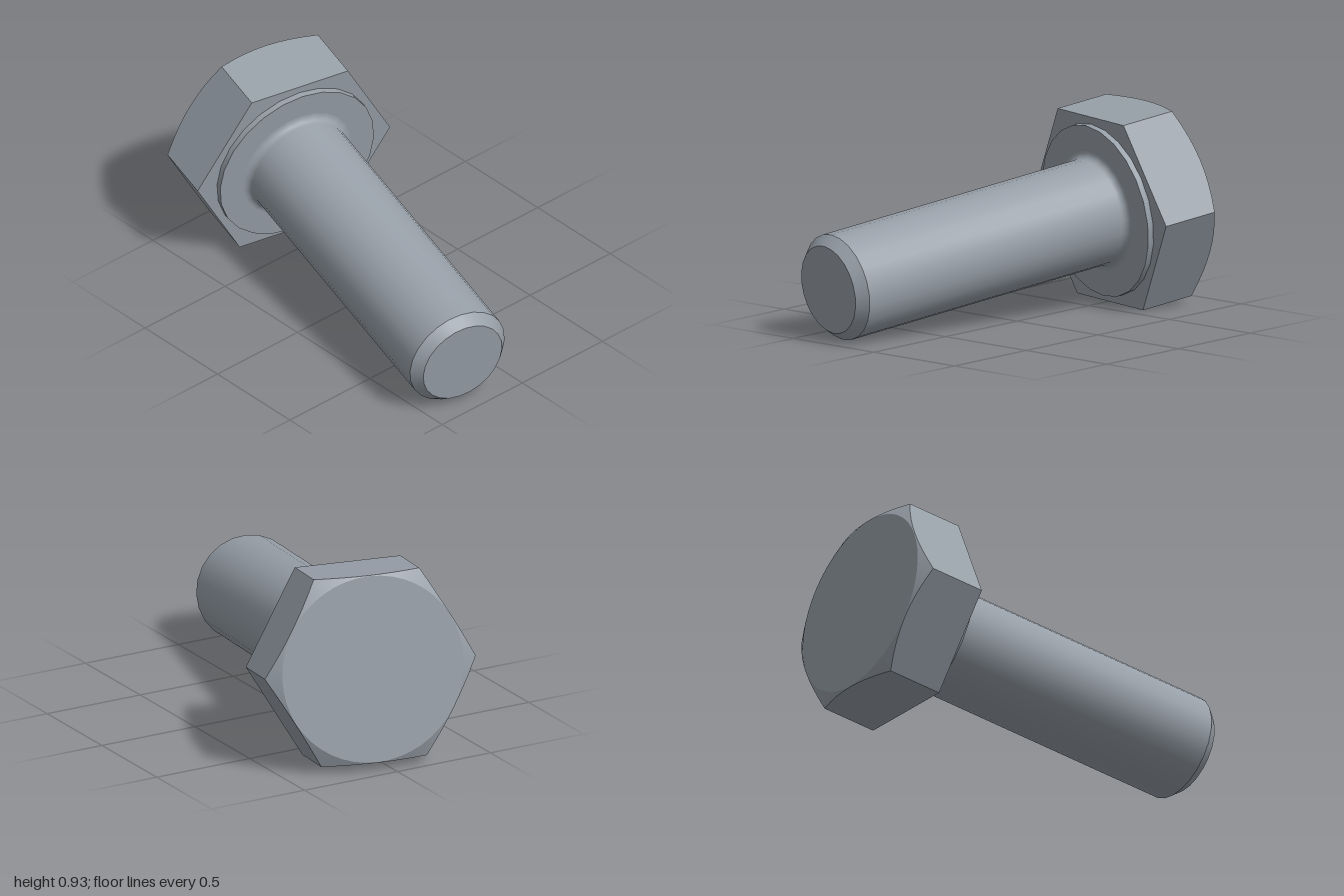
import * as THREE from 'three';
import { toCreasedNormals } from 'three/addons/utils/BufferGeometryUtils.js';

const SEGMENTS = 24;
const HEX_RADIUS = 0.515; // centre to corner
const HEAD_HEIGHT = 0.323;
const CROWN_RADIUS = 0.443; // flat circle on the back of the head
const WASHER_RADIUS = 0.411, WASHER_HEIGHT = 0.03;
const SHANK_RADIUS = 0.253, FILLET = 0.035;
const LENGTH = 1.576, TIP_RADIUS = 0.21, TIP_CHAMFER = 0.05;

// Surface of revolution about the x axis from [along, radius] pairs
function turned(points) {
  const geometry = new THREE.LatheGeometry(points.map(([a, r]) => new THREE.Vector2(r, a)), SEGMENTS);
  geometry.rotateZ(-Math.PI / 2);
  return toCreasedNormals(geometry, 0.42);
}

// Hexagonal prism along -x whose back corners are cut by a 30 degree cone
function hexHead() {
  const count = 48, positions = [];
  const loops = [[], [], [], [], []];
  for (let i = 0; i < count; i++) {
    const angle = (i / count) * Math.PI * 2;
    const local = (angle % (Math.PI / 3)) - Math.PI / 6;
    const radius = HEX_RADIUS * Math.cos(Math.PI / 6) / Math.cos(local);
    const height = HEAD_HEIGHT - (radius - CROWN_RADIUS) * Math.tan(Math.PI / 6);
    const rows = [[0, 0], [0, radius], [-height, radius], [-HEAD_HEIGHT, CROWN_RADIUS], [-HEAD_HEIGHT, 0]];
    rows.forEach(([x, r], k) => loops[k].push([x, r * Math.sin(angle), r * Math.cos(angle)]));
  }
  for (let k = 0; k < 4; k++) {
    for (let i = 0; i < count; i++) {
      const j = (i + 1) % count;
      const a = loops[k][i], b = loops[k][j], c = loops[k + 1][j], d = loops[k + 1][i];
      if (k < 3) positions.push(...a, ...c, ...d);
      if (k > 0) positions.push(...a, ...b, ...c);
    }
  }
  const geometry = new THREE.BufferGeometry();
  geometry.setAttribute('position', new THREE.Float32BufferAttribute(positions, 3));
  return toCreasedNormals(geometry, 0.3);
}

export function createModel() {
  const steel = new THREE.MeshStandardMaterial({ color: 0x98a0a9 });
  steel.name = 'steel';
  const bolt = new THREE.Group();
  bolt.name = 'bolt';
  const add = (name, geometry) => {
    const mesh = new THREE.Mesh(geometry, steel);
    mesh.name = name;
    bolt.add(mesh);
  };

  add('hexHead', hexHead());

  // Raised round bearing face under the head
  add('washerFace', turned([[0, WASHER_RADIUS], [WASHER_HEIGHT, WASHER_RADIUS], [WASHER_HEIGHT, SHANK_RADIUS]]));

  // Shank with a root fillet and a chamfered tip
  const profile = [];
  for (let i = 0; i <= 5; i++) {
    const t = (i / 5) * Math.PI / 2;
    profile.push([WASHER_HEIGHT + FILLET * (1 - Math.cos(t)), SHANK_RADIUS + FILLET * (1 - Math.sin(t))]);
  }
  profile.push([LENGTH - TIP_CHAMFER, SHANK_RADIUS], [LENGTH, TIP_RADIUS], [LENGTH, 0]);
  add('shank', turned(profile));

  // Lay the bolt down so it rests on the head and the tip
  const axis = new THREE.Vector3(0.971, -0.126, 0.208).normalize();
  const corner = new THREE.Vector3(-0.209, 0, 0.978);
  const up = new THREE.Vector3().crossVectors(corner, axis).normalize();
  corner.crossVectors(axis, up);
  bolt.quaternion.setFromRotationMatrix(new THREE.Matrix4().makeBasis(axis, up, corner));
  bolt.position.set(-0.58, 0.445, -0.001);

  const model = new THREE.Group();
  model.name = 'hexBolt';
  model.add(bolt);
  return model;
}
